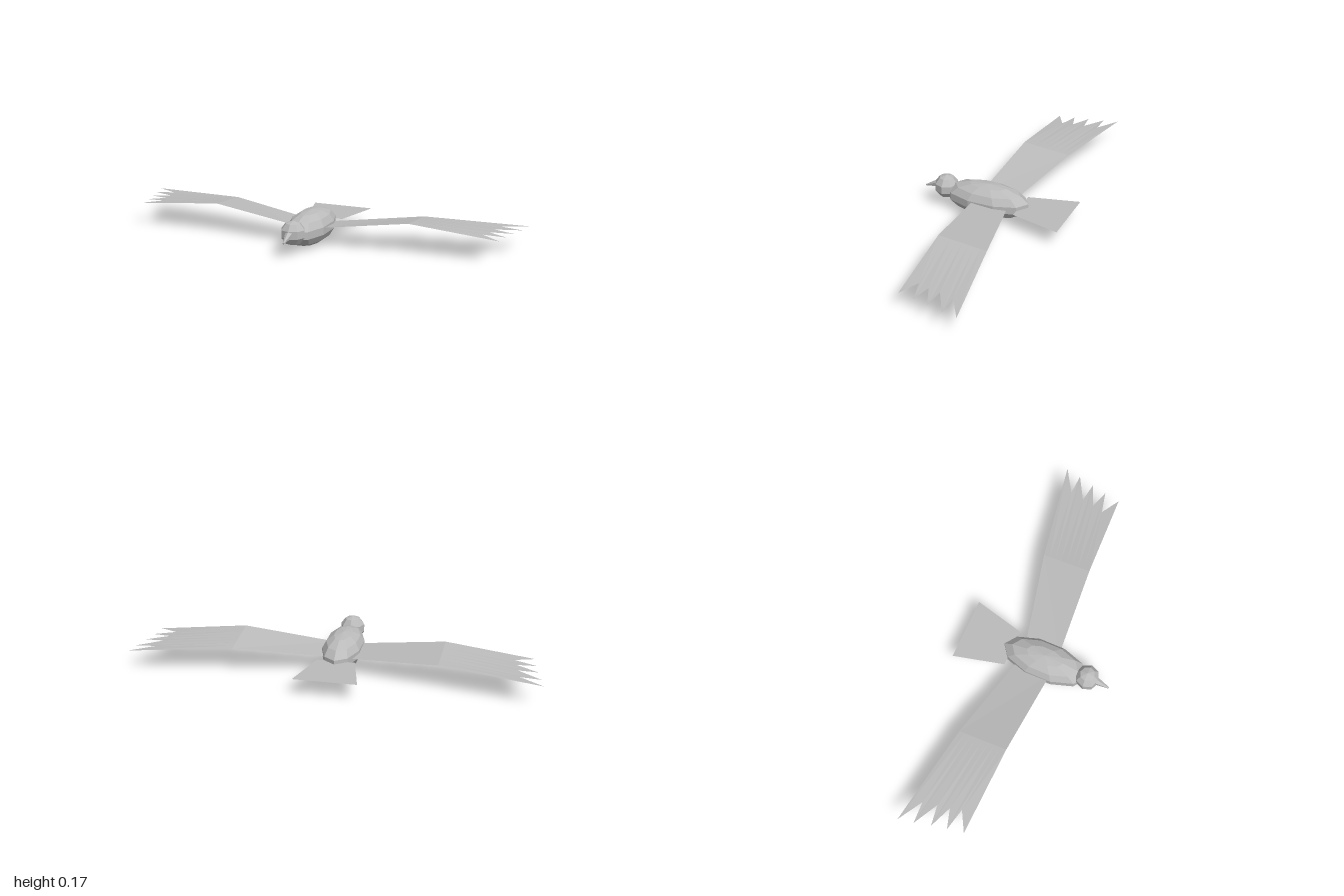
import * as THREE from 'three';

const plumage = new THREE.MeshStandardMaterial({ color: 0xbbbbbb });
plumage.name = 'plumage grey';
plumage.flatShading = true;
const feather = new THREE.MeshStandardMaterial({ color: 0xbbbbbb });
feather.name = 'feather grey';
feather.flatShading = true;
feather.side = THREE.DoubleSide;

function mesh(name, geometry, material) {
  const m = new THREE.Mesh(geometry, material);
  m.name = name;
  return m;
}

// Faceted ellipsoid with a vertex column facing front and back
function ellipsoid(name, radii, centre, around, high) {
  const g = new THREE.SphereGeometry(1, around, high);
  g.rotateY(Math.PI / 2);
  g.scale(...radii);
  g.translate(...centre);
  return mesh(name, g, plumage);
}

// Sheet joining two rows of points (front to back), upper side outward
function strip(inner, outer, side) {
  const pos = [];
  const tri = (a, b, c) => {
    for (const p of side > 0 ? [a, b, c] : [a, c, b]) pos.push(p[0] * side, p[1], p[2]);
  };
  for (let i = 0; i < inner.length - 1; i++) {
    tri(inner[i], outer[i], outer[i + 1]);
    tri(inner[i], outer[i + 1], inner[i + 1]);
  }
  const g = new THREE.BufferGeometry();
  g.setAttribute('position', new THREE.Float32BufferAttribute(pos, 3));
  g.computeVertexNormals();
  return g;
}

const lerp = (a, b, t) => a.map((v, i) => v + (b[i] - v) * t);

// Wing: inner arm panel and outer panel ending in five pointed feathers
function wing(name, side) {
  const group = new THREE.Group();
  group.name = name;
  const root = [[0.05, 0.092, 0.095], [0.05, 0.082, -0.08]];
  const bend = [[0.5, 0.152, 0.064], [0.5, 0.128, -0.18]];
  const outline = [
    [0.935, 0.108, 0.043], [0.84, 0.117, -0.01], [0.95, 0.107, -0.037],
    [0.855, 0.116, -0.065], [0.965, 0.107, -0.112], [0.865, 0.115, -0.125],
    [0.985, 0.106, -0.192], [0.88, 0.113, -0.195], [1.0, 0.108, -0.268],
  ];
  const chord = outline.map((_, i) => lerp(bend[0], bend[1], i / (outline.length - 1)));
  group.add(mesh('innerWing', strip(root, bend, side), feather));
  group.add(mesh('wingFeathers', strip(chord, outline, side), feather));
  return group;
}

export function createModel() {
  const bird = new THREE.Group();
  bird.name = 'bird';

  bird.add(ellipsoid('body', [0.099, 0.084, 0.221], [0, 0.085, 0.044], 10, 7));
  bird.add(ellipsoid('head', [0.062, 0.06, 0.061], [0, 0.107, 0.267], 8, 5));

  // Blunt beak sloping down from the head
  const from = new THREE.Vector3(0, 0.11, 0.312);
  const to = new THREE.Vector3(0, 0.084, 0.38);
  const dir = to.clone().sub(from);
  const beak = mesh('beak', new THREE.CylinderGeometry(0.004, 0.02, dir.length(), 6), plumage);
  beak.position.copy(from).add(to).multiplyScalar(0.5);
  beak.quaternion.setFromUnitVectors(new THREE.Vector3(0, 1, 0), dir.normalize());
  bird.add(beak);

  bird.add(wing('leftWing', 1), wing('rightWing', -1));

  // Flat tail fan
  const y = 0.085;
  bird.add(mesh('tail', strip(
    [[-0.093, y, -0.13], [-0.155, y, -0.38]],
    [[0.093, y, -0.13], [0.155, y, -0.38]], 1), feather));

  return bird;
}
